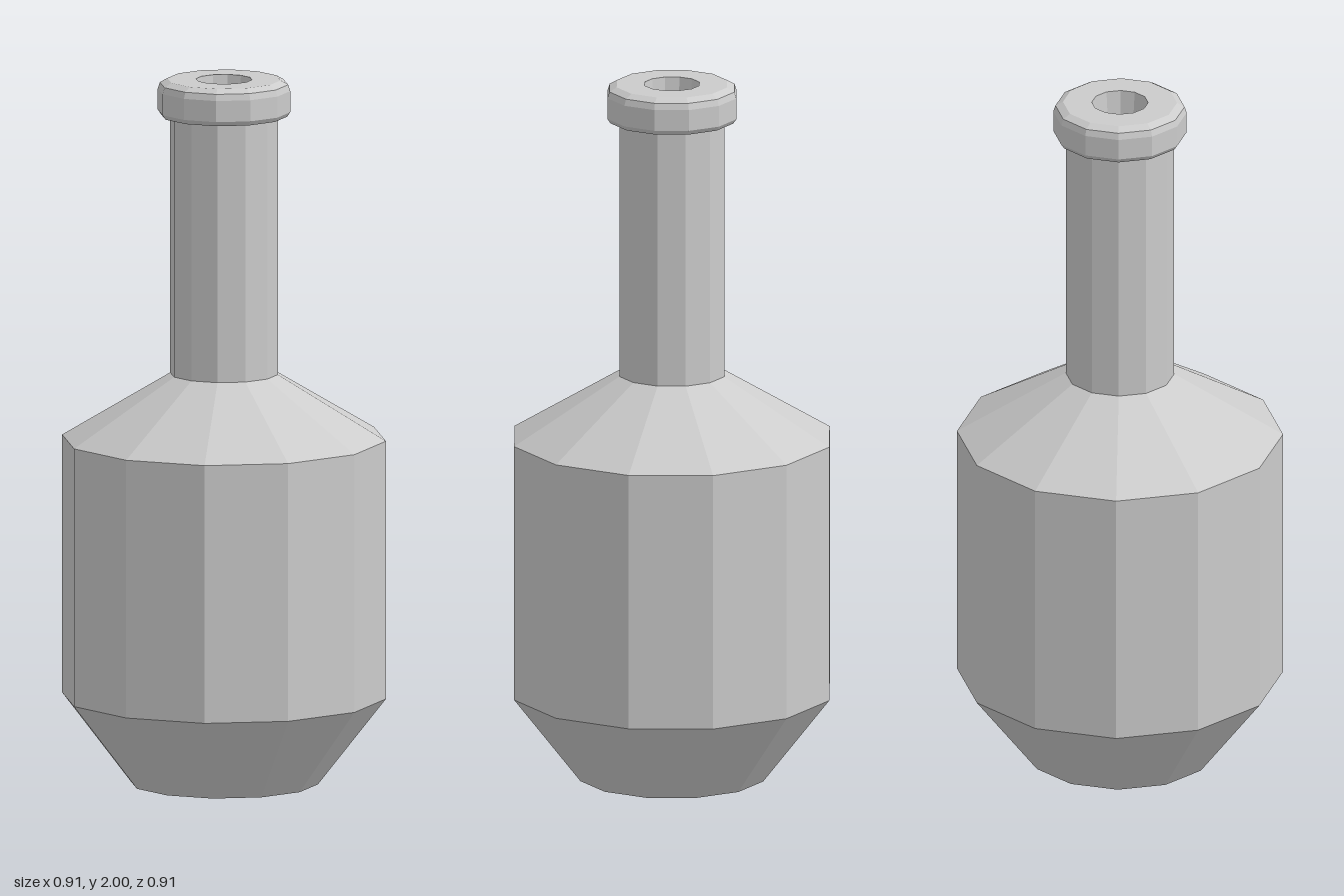
import * as THREE from 'three';

const SIDES = 12;

// Faceted turned part from [radius, height] pairs, listed bottom to top on the outside
function turned(name, profile, material) {
  const points = profile.map(([r, y]) => new THREE.Vector2(r, y));
  const mesh = new THREE.Mesh(new THREE.LatheGeometry(points, SIDES), material);
  mesh.name = name;
  return mesh;
}

export function createModel() {
  const group = new THREE.Group();
  group.name = 'bottle';
  const material = new THREE.MeshStandardMaterial({ color: 0xcccccc, flatShading: true });

  // Tapered foot with closed base
  group.add(turned('base', [[0, 0], [0.265, 0], [0.457, 0.247]], material));
  // Straight belly and sloping shoulder
  group.add(turned('body', [[0.457, 0.247], [0.457, 0.98]], material));
  group.add(turned('shoulder', [[0.457, 0.98], [0.152, 1.163]], material));
  // Long straight neck
  group.add(turned('neck', [[0.152, 1.163], [0.152, 1.9]], material));
  // Bevelled lip
  group.add(turned('lip', [
    [0.152, 1.897], [0.178, 1.897], [0.187, 1.91], [0.187, 1.97],
    [0.181, 1.988], [0.16, 2], [0.079, 2],
  ], material));
  // Tapering bore down the neck, facing inward
  group.add(turned('bore', [[0.079, 2], [0, 1.163]], material));

  return group;
}
